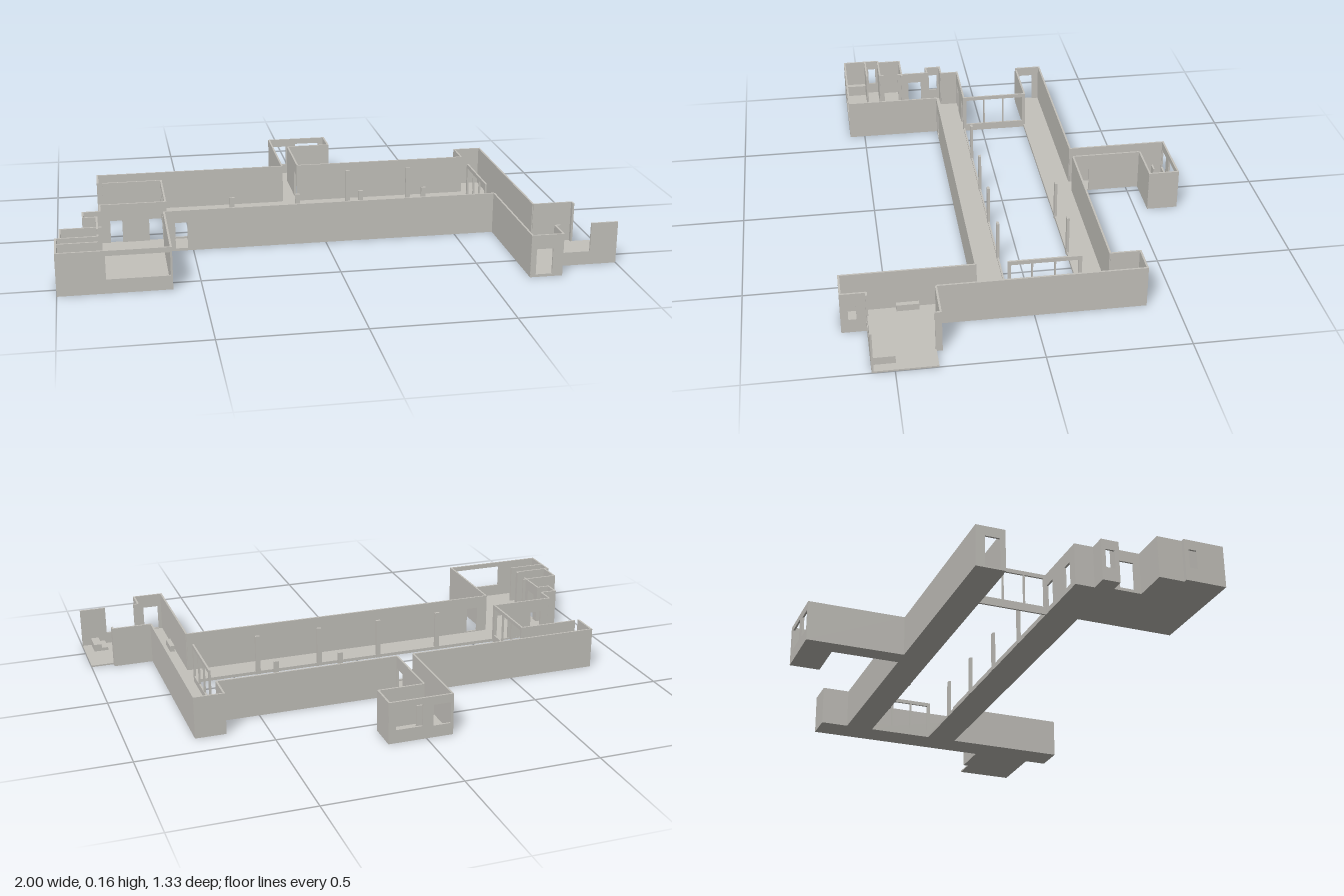
import * as THREE from 'three';

const H = 0.157, T = 0.007, FLOOR = 0.006;

export function createModel() {
  const model = new THREE.Group();
  model.name = 'floorPlan';
  const plaster = new THREE.MeshStandardMaterial({ color: 0xc4c2bc });
  plaster.name = 'warm grey plaster';

  // box given by its limits on each axis
  function block(parent, name, x0, x1, y0, y1, z0, z1) {
    if (x1 - x0 < 1e-4 || y1 - y0 < 1e-4 || z1 - z0 < 1e-4) return;
    const m = new THREE.Mesh(new THREE.BoxGeometry(x1 - x0, y1 - y0, z1 - z0), plaster);
    m.name = name;
    m.position.set((x0 + x1) / 2, (y0 + y1) / 2, (z0 + z1) / 2);
    parent.add(m);
  }

  // straight wall along x or z; openings are [from, to, bottom, top]
  function wall(name, axis, at, from, to, openings = []) {
    const g = new THREE.Group();
    g.name = name;
    const piece = (label, a, b, y0, y1) => axis === 'x'
      ? block(g, label, a, b, y0, y1, at - T / 2, at + T / 2)
      : block(g, label, at - T / 2, at + T / 2, y0, y1, a, b);
    let p = from;
    for (const [a, b, y0, y1] of openings) {
      piece('wallPanel', p, a, 0, H);
      piece('sill', a, b, 0, y0);
      piece('lintel', a, b, y1, H);
      p = b;
    }
    piece('wallPanel', p, to, 0, H);
    model.add(g);
  }

  // floor slab, corners as x, z
  const outline = [
    [-0.84, -0.288], [-0.1, -0.288], [-0.1, -0.664], [0.142, -0.664], [0.142, -0.548],
    [-0.03, -0.548], [-0.03, -0.288], [0.652, -0.288], [0.652, -0.396], [0.763, -0.396],
    [0.763, 0.335], [0.91, 0.335], [0.91, 0.355], [1, 0.355], [1, 0.577], [0.768, 0.577],
    [0.768, 0.664], [0.65, 0.664], [0.65, 0.192], [-0.602, 0.192], [-0.602, 0.56], [-1, 0.56],
    [-1, 0.41], [-0.985, 0.41], [-0.985, 0.315], [-0.85, 0.315], [-0.85, 0.21], [-0.902, 0.21],
    [-0.902, 0.145], [-0.84, 0.145], [-0.84, 0.073], [0.65, 0.073], [0.65, -0.18], [-0.84, -0.18],
  ];
  const shape = new THREE.Shape(outline.map(([x, z]) => new THREE.Vector2(x, -z)));
  const slab = new THREE.ExtrudeGeometry(shape, { depth: FLOOR, bevelEnabled: false });
  slab.rotateX(-Math.PI / 2);
  const floor = new THREE.Mesh(slab, plaster);
  floor.name = 'floor';
  model.add(floor);

  // back corridor
  wall('backCorridorWallRight', 'x', -0.285, -0.84, -0.097);
  wall('backCorridorWallLeft', 'x', -0.285, -0.033, 0.655);
  wall('backCorridorEndWall', 'z', -0.837, -0.288, -0.18, [[-0.255, -0.2, FLOOR, 0.12]]);
  wall('backCorridorInnerWall', 'x', -0.182, -0.82, -0.587);

  // rear wing
  wall('rearStemRightWall', 'z', -0.097, -0.664, -0.285);
  wall('rearStemLeftWall', 'z', -0.033, -0.548, -0.285, [[-0.35, -0.295, FLOOR, 0.11]]);
  wall('rearRoomFrontWall', 'x', -0.551, -0.033, 0.142);
  wall('rearRoomSideWall', 'z', 0.139, -0.664, -0.548);
  wall('rearRoomBackWall', 'x', -0.661, -0.1, 0.142,
    [[-0.09, -0.025, 0.045, 0.125], [0.015, 0.115, 0.05, 0.135]]);
  block(model, 'rearRoomPartition', -0.02, 0.015, 0, 0.1, -0.604, -0.598);

  // left corridor
  wall('leftCorridorOuterWall', 'z', 0.76, -0.396, 0.338);
  wall('leftCorridorBackWall', 'x', -0.393, 0.65, 0.763);
  wall('leftCorridorRearSideWall', 'z', 0.653, -0.396, -0.285);
  wall('leftCorridorInnerWall', 'z', 0.653, 0.19, 0.664);
  wall('frontPorchWall', 'x', 0.661, 0.65, 0.768, [[0.67, 0.73, 0.01, 0.105]]);
  wall('frontPorchSideWall', 'z', 0.765, 0.574, 0.664, [[0.61, 0.638, 0.052, 0.117]]);

  // left room, open toward the side
  wall('leftRoomBackWall', 'x', 0.338, 0.76, 0.913);
  wall('leftRoomJog', 'z', 0.91, 0.338, 0.358);
  wall('leftRoomFrontWall', 'x', 0.574, 0.765, 1, [[0.785, 0.9, 0.05, H]]);
  block(model, 'lowStep', 0.91, 0.965, 0, 0.018, 0.495, 0.572);
  block(model, 'highStep', 0.935, 0.965, 0.018, 0.034, 0.495, 0.572);
  block(model, 'bench', 0.662, 0.68, 0, 0.03, 0.39, 0.47);

  // front corridor
  wall('frontCorridorWall', 'x', 0.189, -0.602, 0.653, [[-0.565, -0.52, 0.01, 0.11]]);

  // glazed courtyard ends with sill, lintel and a middle post
  for (const [name, x] of [['courtyardRightFrame', -0.592], ['courtyardLeftFrame', 0.653]]) {
    wall(name, 'z', x, -0.185, 0.078,
      [[-0.172, -0.093, 0.03, 0.142], [-0.087, -0.012, 0.03, 0.142], [-0.006, 0.066, 0.03, 0.142]]);
  }

  // courtyard posts and low curbs
  for (const x of [-0.34, -0.09, 0.155, 0.403]) {
    block(model, 'frontCourtyardPost', x - 0.009, x + 0.009, 0, H, 0.071, 0.081);
    if (x > 0) block(model, 'backCourtyardPost', x - 0.009, x + 0.009, 0, H, -0.187, -0.177);
  }
  block(model, 'frontCourtyardCurb', -0.59, 0.65, 0, 0.012, 0.073, 0.079);
  block(model, 'backCourtyardCurb', -0.59, 0.65, 0, 0.012, -0.185, -0.179);

  // right room
  wall('rightRoomInnerWall', 'z', -0.605, 0.189, 0.56);
  wall('rightRoomBackWall', 'x', 0.077, -0.84, -0.588,
    [[-0.8, -0.755, FLOOR, 0.105], [-0.655, -0.605, FLOOR, 0.11]]);
  wall('rightRoomFrontWall', 'x', 0.557, -1, -0.602, [[-0.83, -0.607, 0.052, 0.138]]);
  wall('rightRoomSideWall', 'z', -0.837, 0.073, 0.148);

  // small side nook and closets
  wall('nookBackWall', 'x', 0.148, -0.902, -0.837);
  wall('nookSideWall', 'z', -0.899, 0.145, 0.21, [[0.16, 0.195, 0.05, 0.12]]);
  wall('nookFrontWall', 'x', 0.208, -0.902, -0.847);
  wall('closetEntryWall', 'z', -0.85, 0.205, 0.335, [[0.235, 0.29, FLOOR, 0.115]]);
  wall('closetBackWall', 'x', 0.318, -0.985, -0.835);
  wall('closetSideWall', 'z', -0.982, 0.315, 0.413);
  wall('closetMiddleWall', 'x', 0.412, -1, -0.85);
  wall('closetFrontWall', 'x', 0.468, -1, -0.85);
  wall('closetDoorJamb', 'z', -0.85, 0.395, 0.412);
  wall('outerSideWall', 'z', -0.9965, 0.41, 0.56, [[0.425, 0.455, 0.05, 0.12]]);
  block(model, 'sideLedge', -0.993, -0.972, 0, 0.05, 0.472, 0.553);

  return model;
}
